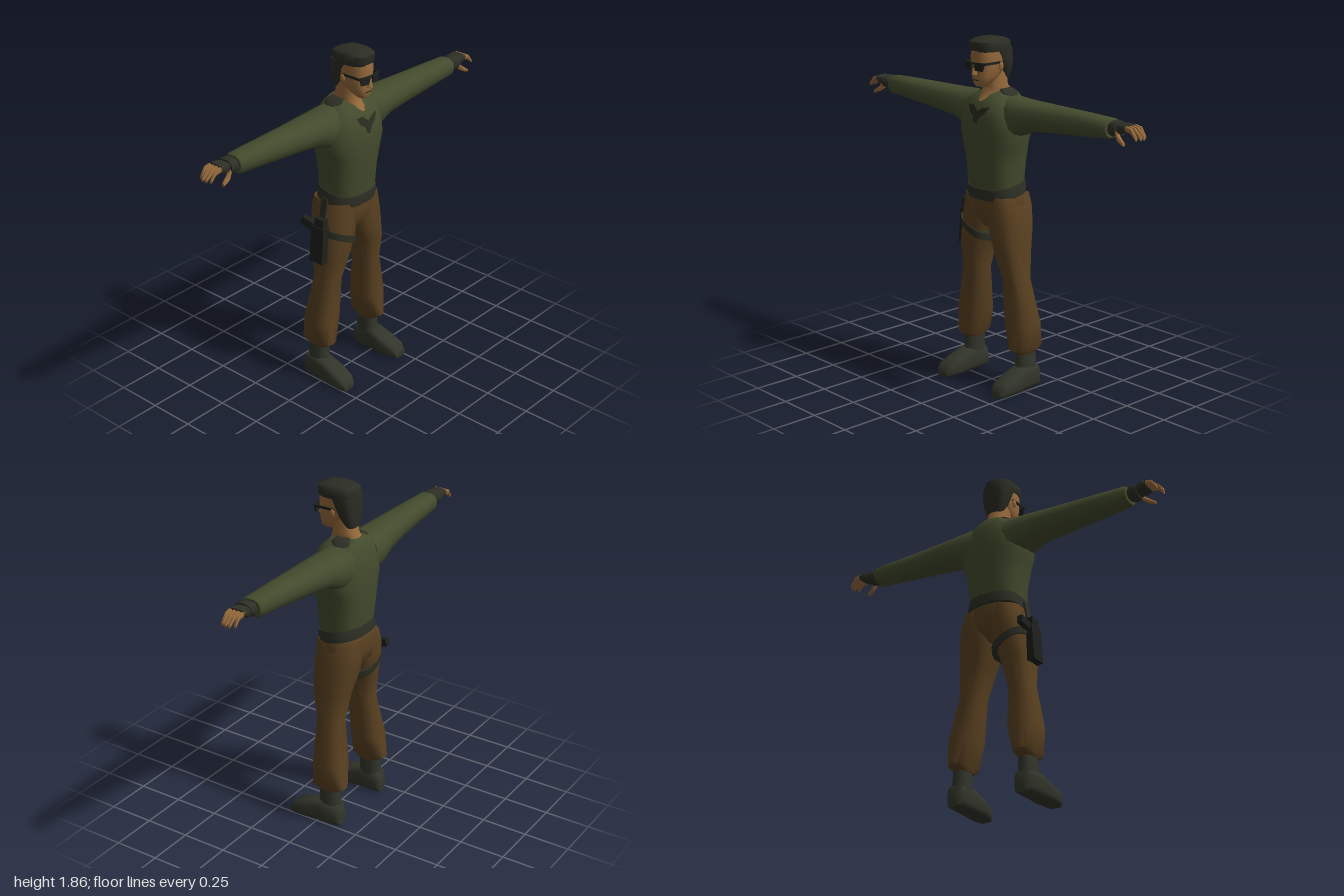
import * as THREE from 'three';
import { toCreasedNormals } from 'three/addons/utils/BufferGeometryUtils.js';

const mat = (name, color, side = THREE.FrontSide) => {
  const m = new THREE.MeshStandardMaterial({ color, side });
  m.name = name;
  return m;
};

// Closed loft along an axis. Section: [t, a0, a1, b0, b1], where a and b are
// the ranges on the other two axes (y: x,z / x: y,z / z: x,y).
function loft(axis, sections, { n = 14, e = 0.8, tiltA = 0, tiltB = 0, crease = 0.9 } = {}) {
  const pos = [], idx = [];
  const put = (t, a, b) => {
    t += tiltA * a + tiltB * b;
    if (axis === 'y') pos.push(a, t, b);
    else if (axis === 'x') pos.push(t, a, b);
    else pos.push(a, b, t);
  };
  const pow = v => Math.sign(v) * Math.abs(v) ** e;
  for (const [t, a0, a1, b0, b1] of sections) {
    for (let i = 0; i < n; i++) {
      const u = (i + 0.5) / n * Math.PI * 2;
      put(t, (a0 + a1) / 2 + (a1 - a0) / 2 * pow(Math.cos(u)), (b0 + b1) / 2 + (b1 - b0) / 2 * pow(Math.sin(u)));
    }
  }
  const last = sections.length - 1;
  for (const k of [0, last]) {
    const [t, a0, a1, b0, b1] = sections[k];
    put(t, (a0 + a1) / 2, (b0 + b1) / 2);
  }
  const flip = (axis === 'y') !== (sections[last][0] < sections[0][0]);
  const tri = (a, b, c) => flip ? idx.push(a, c, b) : idx.push(a, b, c);
  const c0 = n * sections.length;
  for (let i = 0; i < n; i++) {
    const j = (i + 1) % n;
    for (let k = 0; k < last; k++) {
      const p = k * n;
      tri(p + i, p + j, p + n + j);
      tri(p + i, p + n + j, p + n + i);
    }
    tri(c0, j, i);
    tri(c0 + 1, last * n + i, last * n + j);
  }
  const g = new THREE.BufferGeometry();
  g.setAttribute('position', new THREE.Float32BufferAttribute(pos, 3));
  g.setIndex(idx);
  return toCreasedNormals(g, crease);
}

// Sections symmetric in x: [y, halfWidth, zBack, zFront]
const sym = list => list.map(([y, w, z0, z1]) => [y, -w, w, z0, z1]);
// Mirror sections to side s
const mirX = (list, s) => s > 0 ? list : list.map(([t, a, b, c, d]) => [t, -b, -a, c, d]);
const mirT = (list, s) => list.map(([t, ...r]) => [t * s, ...r]);

export function createModel() {
  const M = {
    shirt: mat('olive shirt', 0x434b2d),
    pants: mat('brown trousers', 0x5a4121),
    skin: mat('skin', 0x966a3c),
    dark: mat('dark cloth', 0x2e2f25),
    boot: mat('boot leather', 0x32352a),
    hair: mat('hair', 0x2b2c23),
    black: mat('black gear', 0x1e201c),
    stain: mat('dark patch', 0x2b2d21, THREE.DoubleSide),
  };
  const root = new THREE.Group();
  const add = (name, geo, m, parent = root) => {
    const mesh = new THREE.Mesh(geo, m);
    mesh.name = name;
    parent.add(mesh);
    return mesh;
  };
  const box = (name, m, size, at, parent = root) => {
    const b = add(name, new THREE.BoxGeometry(...size), m, parent);
    b.position.set(...at);
    return b;
  };

  // Torso, belt and hips
  add('torso', loft('y', sym([
    [1.06, 0.15, -0.145, 0.088], [1.2, 0.157, -0.16, 0.102], [1.3, 0.175, -0.165, 0.112],
    [1.37, 0.198, -0.166, 0.114], [1.45, 0.19, -0.165, 0.108], [1.53, 0.155, -0.15, 0.09],
    [1.565, 0.11, -0.135, 0.05], [1.588, 0.065, -0.115, 0.015]]), { n: 22 }), M.shirt);
  add('belt', loft('y', sym([
    [1.035, 0.164, -0.158, 0.09], [1.06, 0.163, -0.157, 0.094], [1.095, 0.157, -0.152, 0.094]]),
    { n: 20, tiltB: -0.2 }), M.dark);
  add('hips', loft('y', sym([
    [0.865, 0.07, -0.1, 0.04], [0.92, 0.16, -0.155, 0.077], [0.98, 0.182, -0.167, 0.08],
    [1.05, 0.16, -0.16, 0.08]]), { n: 20 }), M.pants);

  // Dark patch lying on the chest
  const patch = new THREE.ShapeGeometry(new THREE.Shape([
    [-0.072, 1.515], [-0.05, 1.475], [-0.022, 1.462], [-0.015, 1.43], [0.008, 1.42], [0.022, 1.452],
    [0.055, 1.475], [0.082, 1.515], [0.035, 1.505], [0.005, 1.488], [-0.028, 1.517]]
    .map(p => new THREE.Vector2(...p))));
  const pp = patch.attributes.position;
  for (let i = 0; i < pp.count; i++) {
    const x = pp.getX(i), y = pp.getY(i);
    const front = y > 1.45 ? 0.108 - 0.225 * (y - 1.45) : 0.108 + 0.075 * (1.45 - y);
    const round = (1 - (Math.abs(x) / 0.175) ** 2.5) ** 0.4;
    pp.setZ(i, -0.03 + (front + 0.03) * round + 0.008);
  }
  patch.computeVertexNormals();
  add('chestPatch', patch, M.stain);

  for (const s of [1, -1]) {
    const side = s > 0 ? 'left' : 'right';

    // Sleeve, cuff, glove and fingers
    const arm = new THREE.Group();
    arm.name = side + 'Arm';
    root.add(arm);
    add('sleeve', loft('x', mirT([
      [0.1, 1.35, 1.565, -0.15, 0.055], [0.19, 1.365, 1.558, -0.15, 0.06], [0.27, 1.402, 1.556, -0.138, 0.053],
      [0.42, 1.418, 1.556, -0.118, 0.045], [0.62, 1.435, 1.555, -0.1, 0.036],
      [0.8, 1.45, 1.552, -0.088, 0.03], [0.812, 1.458, 1.545, -0.082, 0.024]], s)), M.shirt, arm);
    add('cuff', loft('x', mirT([
      [0.8, 1.478, 1.53, -0.06, 0.005], [0.835, 1.468, 1.548, -0.078, 0.026],
      [0.868, 1.475, 1.545, -0.075, 0.024]], s), { n: 10 }), M.dark, arm);
    add('glove', loft('x', mirT([
      [0.86, 1.482, 1.535, -0.066, 0.012], [0.885, 1.488, 1.54, -0.076, 0.016],
      [0.925, 1.505, 1.541, -0.077, 0.016]], s), { n: 10, e: 0.6 }), M.dark, arm);
    for (let f = 0; f < 4; f++) {
      const z = -0.076 + f * 0.0228, tip = [0.985, 1, 1, 0.99][f];
      add('finger', loft('x', mirT([
        [0.915, 1.511, 1.537, z, z + 0.022], [0.958, 1.503, 1.53, z, z + 0.021],
        [tip, 1.472, 1.492, z + 0.003, z + 0.019]], s), { n: 6 }), M.skin, arm);
    }
    add('thumb', loft('x', mirT([
      [0.865, 1.475, 1.51, -0.01, 0.018], [0.89, 1.455, 1.486, 0.0, 0.03],
      [0.93, 1.441, 1.458, 0.014, 0.032]], s), { n: 6 }), M.skin, arm);

    // Baggy trouser leg and boot
    const leg = new THREE.Group();
    leg.name = side + 'Leg';
    root.add(leg);
    add('trouserLeg', loft('y', mirX([
      [0.198, 0.152, 0.238, -0.115, 0.01], [0.225, 0.14, 0.255, -0.155, 0.045], [0.36, 0.095, 0.271, -0.14, 0.04],
      [0.6, 0.085, 0.217, -0.106, 0.04], [0.75, 0.043, 0.212, -0.127, 0.074],
      [0.87, 0, 0.202, -0.155, 0.08], [0.97, -0.01, 0.186, -0.166, 0.08],
      [1.04, 0.01, 0.162, -0.158, 0.078]], s)), M.pants, leg);
    add('bootShaft', loft('y', mirX([
      [0.04, 0.155, 0.248, -0.127, 0.02], [0.12, 0.155, 0.243, -0.118, 0.004],
      [0.212, 0.158, 0.236, -0.115, 0]], s), { n: 10 }), M.boot, leg);
    add('bootFoot', loft('z', mirX([
      [-0.134, 0.17, 0.232, 0, 0.08], [-0.115, 0.154, 0.25, 0, 0.12], [-0.01, 0.152, 0.26, 0, 0.13],
      [0.07, 0.148, 0.266, 0, 0.1], [0.145, 0.16, 0.264, 0, 0.07], [0.172, 0.175, 0.25, 0, 0.04]], s),
      { n: 12, e: 0.5 }), M.boot, leg);

    // Collar flap
    add(side + 'Collar', loft('y', mirX([
      [1.555, 0.05, 0.122, -0.1, 0], [1.577, 0.05, 0.105, -0.1, 0.005], [1.594, 0.045, 0.072, -0.085, -0.005]], s),
      { n: 8 }), M.dark);
  }

  // Head with neck, nose, ears and mouth
  const head = new THREE.Group();
  head.name = 'head';
  root.add(head);
  add('neck', loft('y', sym([
    [1.535, 0.045, -0.1, 0.086], [1.575, 0.058, -0.115, 0.05], [1.61, 0.055, -0.09, 0.042],
    [1.69, 0.055, -0.08, 0.05]])), M.skin, head);
  add('face', loft('y', sym([
    [1.612, 0.026, 0.05, 0.1], [1.632, 0.045, 0.02, 0.11], [1.665, 0.06, -0.03, 0.113], [1.71, 0.068, -0.07, 0.113],
    [1.76, 0.073, -0.085, 0.118], [1.82, 0.07, -0.08, 0.112]]), { n: 16, e: 0.75 }), M.skin, head);
  const nose = add('nose', new THREE.ConeGeometry(0.018, 0.06, 4), M.skin, head);
  nose.position.set(0, 1.705, 0.117);
  nose.rotation.x = -0.15;
  nose.scale.z = 1.2;
  box('mouth', M.dark, [0.04, 0.006, 0.008], [0, 1.646, 0.109], head);
  add('hairCap', loft('y', sym([
    [1.79, 0.077, -0.098, 0.113], [1.805, 0.079, -0.098, 0.119], [1.84, 0.079, -0.09, 0.121],
    [1.853, 0.066, -0.06, 0.095], [1.861, 0.035, -0.02, 0.06]]), { n: 16, e: 0.7 }), M.hair, head);
  add('hairBack', loft('y', sym([
    [1.64, 0.045, -0.09, -0.04], [1.69, 0.067, -0.096, -0.015], [1.74, 0.077, -0.099, 0.015],
    [1.8, 0.078, -0.099, 0.05]]), { n: 14, e: 0.65 }), M.hair, head);

  // Sunglasses
  const glasses = new THREE.Group();
  glasses.name = 'sunglasses';
  head.add(glasses);
  const lens = new THREE.ExtrudeGeometry(new THREE.Shape([
    [-0.024, -0.02], [0.02, -0.022], [0.03, 0.006], [0.03, 0.021], [-0.029, 0.021], [-0.029, 0]]
    .map(p => new THREE.Vector2(...p))), { depth: 0.009, bevelEnabled: false });
  for (const s of [1, -1]) {
    const l = add('lens', lens, M.black, glasses);
    l.position.set(0.037 * s, 1.718, 0.119);
    l.rotation.y = 0.22 * s;
    box('temple', M.black, [0.007, 0.012, 0.12], [0.073 * s, 1.734, 0.06], glasses);
    const ear = add('ear', new THREE.SphereGeometry(0.022, 8, 6), M.skin, head);
    ear.scale.set(0.4, 1.1, 0.7);
    ear.position.set(0.077 * s, 1.715, 0.008);
  }
  box('bridge', M.black, [0.03, 0.01, 0.009], [0, 1.732, 0.124], glasses);

  // Thigh holster with sidearm on the right leg
  add('thighStrap', loft('y', [
    [0.775, -0.21, 0.0, -0.153, 0.083], [0.815, -0.208, 0.0, -0.158, 0.085]], { tiltA: -0.45 }), M.dark);
  const holster = new THREE.Group();
  holster.name = 'holster';
  holster.position.set(-0.217, 0.845, -0.03);
  holster.rotation.z = -0.08;
  root.add(holster);
  box('pouch', M.black, [0.045, 0.2, 0.085], [0, -0.025, 0], holster);
  box('slide', M.black, [0.036, 0.05, 0.06], [0, 0.098, 0.004], holster);
  const grip = box('grip', M.black, [0.03, 0.042, 0.09], [0, 0.07, -0.075], holster);
  grip.rotation.x = 0.2;
  const hanger = box('hanger', M.dark, [0.009, 0.15, 0.04], [-0.186, 0.995, -0.03]);
  hanger.rotation.z = -0.2;

  return root;
}
